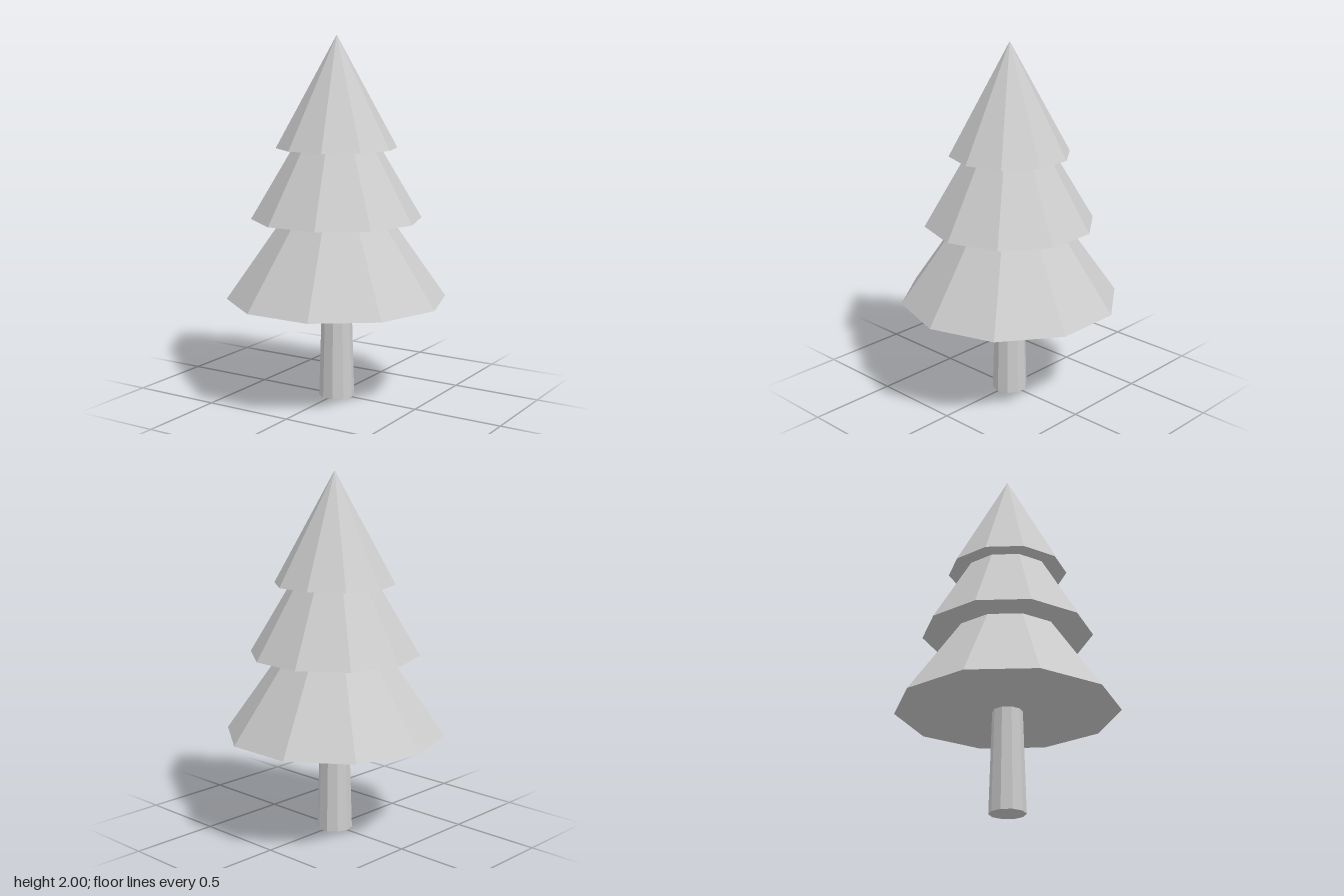
import * as THREE from 'three';

export function createModel() {
  const tree = new THREE.Group();
  tree.name = 'pineTree';
  const grey = new THREE.MeshStandardMaterial({ color: 0xcccccc, flatShading: true });
  grey.name = 'plain grey';
  const sides = 10;

  // Ten-sided tapered solid with a corner on the x axis
  function taper(name, topRadius, bottomRadius, bottom, top) {
    const geometry = new THREE.CylinderGeometry(
      topRadius, bottomRadius, top - bottom, sides, 1, false, Math.PI / 2);
    const mesh = new THREE.Mesh(geometry, grey);
    mesh.name = name;
    mesh.position.y = (bottom + top) / 2;
    tree.add(mesh);
  }

  // Trunk, ending just inside the lowest branches
  taper('trunk', 0.081, 0.099, 0, 0.6);

  // Overlapping foliage cones: base radius, base height, tip height
  [
    ['lowerFoliage', 0.609, 0.56, 1.43],
    ['middleFoliage', 0.47, 1.005, 1.8],
    ['upperFoliage', 0.332, 1.393, 2],
  ].forEach(([name, radius, bottom, top]) => taper(name, 0, radius, bottom, top));

  return tree;
}
